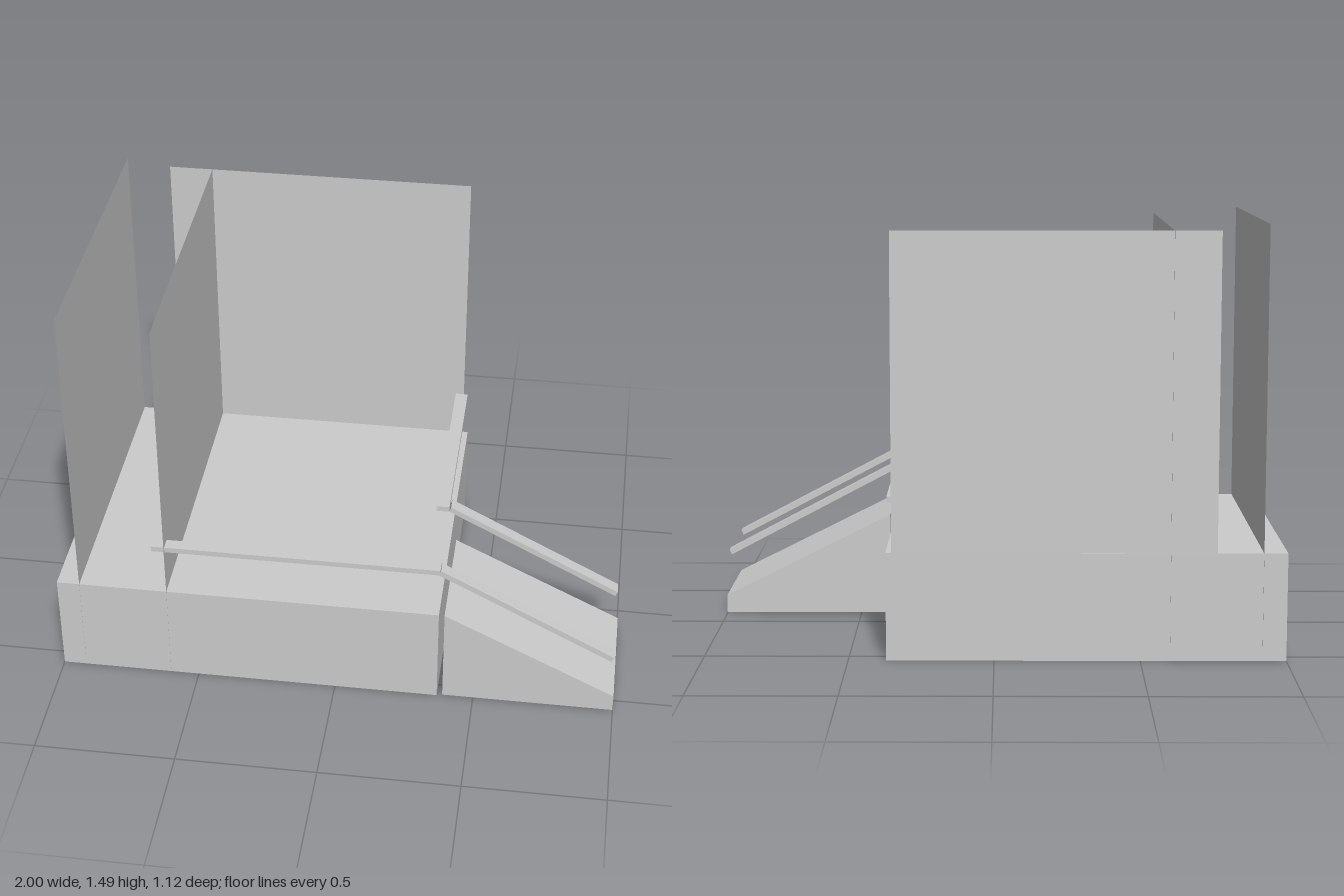
import * as THREE from 'three';

const mat = new THREE.MeshStandardMaterial({ color: 0xcccccc, flatShading: true });
const sheet = new THREE.MeshStandardMaterial({ color: 0xcccccc, side: THREE.DoubleSide });

export function createModel() {
  const group = new THREE.Group();

  const add = (name, geometry, material = mat) => {
    const mesh = new THREE.Mesh(geometry, material);
    mesh.name = name;
    group.add(mesh);
    return mesh;
  };

  // Box given by its two opposite corners
  const box = (name, [x0, y0, z0], [x1, y1, z1]) =>
    add(name, new THREE.BoxGeometry(x1 - x0, y1 - y0, z1 - z0))
      .position.set((x0 + x1) / 2, (y0 + y1) / 2, (z0 + z1) / 2);

  // Side outline in x, y extruded from z0 to z1
  const prism = (name, points, z0, z1) => {
    const shape = new THREE.Shape(points.map(([x, y]) => new THREE.Vector2(x, y)));
    const geometry = new THREE.ExtrudeGeometry(shape, { depth: z1 - z0, bevelEnabled: false });
    add(name, geometry).position.z = z0;
  };

  // Raised platform and the ramp beside it
  box('platform', [-1, 0, -0.555], [0.37, 0.376, 0.555]);
  prism('ramp', [[0.39, 0.005], [1, 0.005], [1, 0.07], [0.39, 0.376]], 0.125, 0.555);

  // Thin back wall
  add('backWall', new THREE.PlaneGeometry(1.11, 1.1), sheet).position.set(-0.205, 0.92, -0.554);

  // Two parallel thin partitions: x position and bottom edge
  for (const [name, x, bottom] of [['outerPartition', -0.918, 0.03], ['innerPartition', -0.602, 0.008]]) {
    const wall = add(name, new THREE.PlaneGeometry(1.115, 1.462), sheet);
    wall.rotation.y = Math.PI / 2;
    wall.position.set(x, bottom + 0.731, -0.001);
  }

  // Level handrails along the front and the ramp side of the platform
  box('frontHandrail', [-0.65, 0.548, 0.5], [0.37, 0.568, 0.545]);
  box('sideHandrail', [0.32, 0.548, -0.535], [0.366, 0.568, 0.182]);

  // Sloping handrails on both sides of the ramp
  const slope = [[0.366, 0.548], [0.982, 0.222], [0.99, 0.241], [0.372, 0.568]];
  prism('frontRampHandrail', slope, 0.5, 0.545);
  prism('rearRampHandrail', slope, 0.136, 0.182);

  return group;
}
